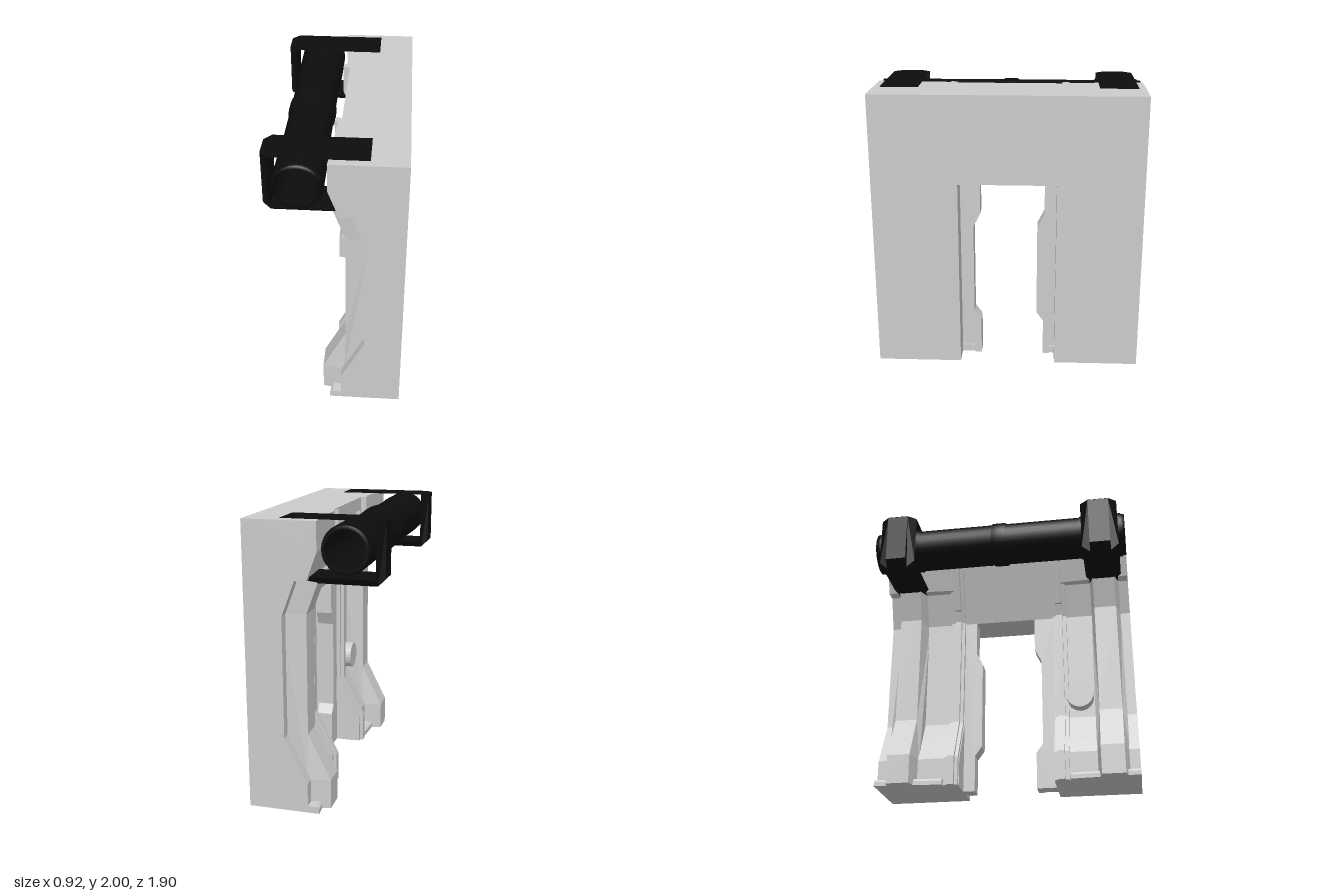
import * as THREE from 'three';

const grey = new THREE.MeshStandardMaterial({ color: 0xcccccc, flatShading: true });
const black = new THREE.MeshStandardMaterial({ color: 0x0d0d0d, side: THREE.DoubleSide });
const blackFlat = new THREE.MeshStandardMaterial({ color: 0x0d0d0d, flatShading: true, side: THREE.DoubleSide });

// Recessed face of the wall: [height, x]
const FACE = [[0, 0.04], [0.21, 0.04], [0.53, 0.2], [1.37, 0.2], [1.8, 0.04], [1.995, 0.04]];

function faceX(y) {
  for (let i = 1; i < FACE.length; i++) {
    const [y0, x0] = FACE[i - 1], [y1, x1] = FACE[i];
    if (y <= y1) return x0 + (x1 - x0) * (y - y0) / (y1 - y0);
  }
  return 0.04;
}

// Heights of the bends between two levels
const levels = (y0, y1) => [y0, ...FACE.map(p => p[0]).filter(y => y > y0 + 0.001 && y < y1 - 0.001), y1];

const shapeOf = pts => new THREE.Shape(pts.map(p => new THREE.Vector2(p[0], p[1])));

// Outline extruded along z between z0 and z1
function extrudeZ(pts, z0, z1) {
  const g = new THREE.ExtrudeGeometry(shapeOf(pts), { depth: z1 - z0, bevelEnabled: false });
  return g.translate(0, 0, z0);
}

// Outline in (z, y) extruded along x between x0 and x1
function extrudeX(pts, x0, x1) {
  const g = new THREE.ExtrudeGeometry(shapeOf(pts), { depth: x1 - x0, bevelEnabled: false });
  return g.rotateY(-Math.PI / 2).translate(x1, 0, 0);
}

// Band that follows the bent face, standing out by t
function band(t, y0, y1, z0, z1) {
  const ys = levels(y0, y1);
  const outer = ys.map(y => [faceX(y) - t, y]);
  const inner = ys.map(y => [faceX(y) + 0.02, y]).reverse();
  return extrudeZ([...outer, ...inner], z0, z1);
}

// Move vertices by a rule and refresh the normals
function reshape(g, rule) {
  const p = g.attributes.position, v = new THREE.Vector3();
  for (let i = 0; i < p.count; i++) {
    v.fromBufferAttribute(p, i);
    rule(v);
    p.setXYZ(i, v.x, v.y, v.z);
  }
  g.computeVertexNormals();
  return g;
}

export function createModel() {
  const model = new THREE.Group();
  const add = (name, geometry, material = grey, parent = model) => {
    const m = new THREE.Mesh(geometry, material);
    m.name = name;
    parent.add(m);
    return m;
  };

  // Wall: two columns and the lintel over the doorway
  const wallOutline = y0 => [...levels(y0, 1.995).map(y => [faceX(y), y]), [0.46, 1.995], [0.46, y0]];
  add('columnLeft', extrudeZ(wallOutline(0), 0.345, 0.95));
  add('columnRight', extrudeZ(wallOutline(0), -0.95, -0.345));
  add('lintel', extrudeZ(wallOutline(1.37), -0.345, 0.345));
  add('lintelRail', band(0.03, 1.9, 1.995, -0.38, 0.38));

  for (const s of [1, -1]) {
    const span = (a, b) => (s > 0 ? [a, b] : [-b, -a]);
    const mid = s * 0.765;

    // Thick rib with sloped flanks under the bracket
    const rib = reshape(band(0.135, 0, 1.61, -0.115, 0.115), v => {
      if (v.x < faceX(v.y) - 0.05) v.z *= 0.72;
    });
    add('mainRib', rib).position.z = mid;

    // Upper fascia, thinner towards the doorway
    const fascia = reshape(band(0.08, 1.61, 1.995, ...span(0.4, 0.95)), v => {
      if (Math.abs(v.z) < 0.5 && v.x < faceX(v.y)) v.x += 0.03;
    });
    add('upperFascia', fascia);

    // Slim stepped rib beside the doorway
    add('slimRibBase', band(0.03, 0, 1.995, ...span(0.35, 0.455)));
    add('slimRib', band(0.075, 1.45, 1.995, ...span(0.375, 0.425)));
    add('slimRibLower', band(0.055, 0, 1.45, ...span(0.375, 0.425)));

    // Rounded foot bar
    const foot = extrudeZ([[-0.04, 0], [0.06, 0], [0.06, 0.05], [-0.02, 0.05], [-0.035, 0.04], [-0.04, 0.03]],
      ...span(0.46, 0.95));
    add('footBar', reshape(foot, v => { if (Math.abs(v.z) < 0.5 && v.x < 0) v.x += 0.03; }));

    // Door jamb trim: a strip that jogs sideways, with a thinner panel behind it
    const shift = s > 0 ? 0 : -0.51;
    const jog = [[0.2, 0], [0.2, 0.27], [0.25, 0.34], [0.25, 1.01], [0.2, 1.11], [0.2, 1.37]]
      .map(([z, y]) => [z + shift, y]);
    const strip = [...jog, ...jog.map(([z, y]) => [z + 0.05, y]).reverse()];
    const wallZ = s * 0.36;
    const panelEdge = s > 0 ? jog : jog.map(([z, y]) => [z + 0.05, y]);
    add('jambStrip', extrudeX(strip, 0.2, 0.32));
    add('jambPanel', extrudeX([...panelEdge, [wallZ, 1.37], [wallZ, 0]], 0.2, 0.29));
    for (const y of [0, 1.32]) {
      const z0 = s > 0 ? 0.22 : -0.35, z1 = s > 0 ? 0.35 : -0.28;
      add('jambBar', new THREE.BoxGeometry(0.11, 0.05, z1 - z0)).position.set(0.255, y + 0.025, (z0 + z1) / 2);
    }

    // Pipe bracket: L-shaped cradle with chamfered edges and a thin cap plate
    const bracket = new THREE.Group();
    bracket.name = 'pipeBracket';
    bracket.position.z = mid;
    model.add(bracket);
    const cradle = extrudeZ([[-0.46, 1.998], [-0.46, 1.63], [-0.41, 1.58], [0.12, 1.58],
      [0.1, 1.63], [-0.41, 1.63], [-0.41, 1.998]], -0.135, 0.135);
    reshape(cradle, v => { if (v.x < -0.43 || v.y < 1.6) v.z *= 0.56; });
    add('cradle', cradle, blackFlat, bracket);
    const cap = new THREE.ShapeGeometry(shapeOf([[-0.46, -0.075], [-0.41, -0.135], [0.22, -0.135],
      [0.22, 0.135], [-0.41, 0.135], [-0.46, 0.075]])).rotateX(-Math.PI / 2).translate(0, 2, 0);
    add('capPlate', cap, blackFlat, bracket);
  }

  // Round button in the recess of the left column
  const button = new THREE.CylinderGeometry(0.1, 0.1, 0.1, 24).rotateZ(Math.PI / 2);
  add('button', button).position.set(0.16, 0.68, 0.54);

  // Hollow pipe with collars, turned around its long axis
  const half = [[0.165, 0], [0.165, 0.045], [0.155, 0.06], [0.155, 0.61], [0.163, 0.62],
    [0.163, 0.92], [0.155, 0.93], [0.155, 0.95], [0.135, 0.95]];
  const outline = [...half.map(([r, z]) => [r, -z]).reverse(), ...half.slice(1), [0.135, -0.95]];
  const pipe = new THREE.LatheGeometry(outline.map(p => new THREE.Vector2(p[0], p[1])), 28).rotateX(Math.PI / 2);
  add('pipe', pipe, black).position.set(-0.225, 1.82, 0);

  return model;
}
